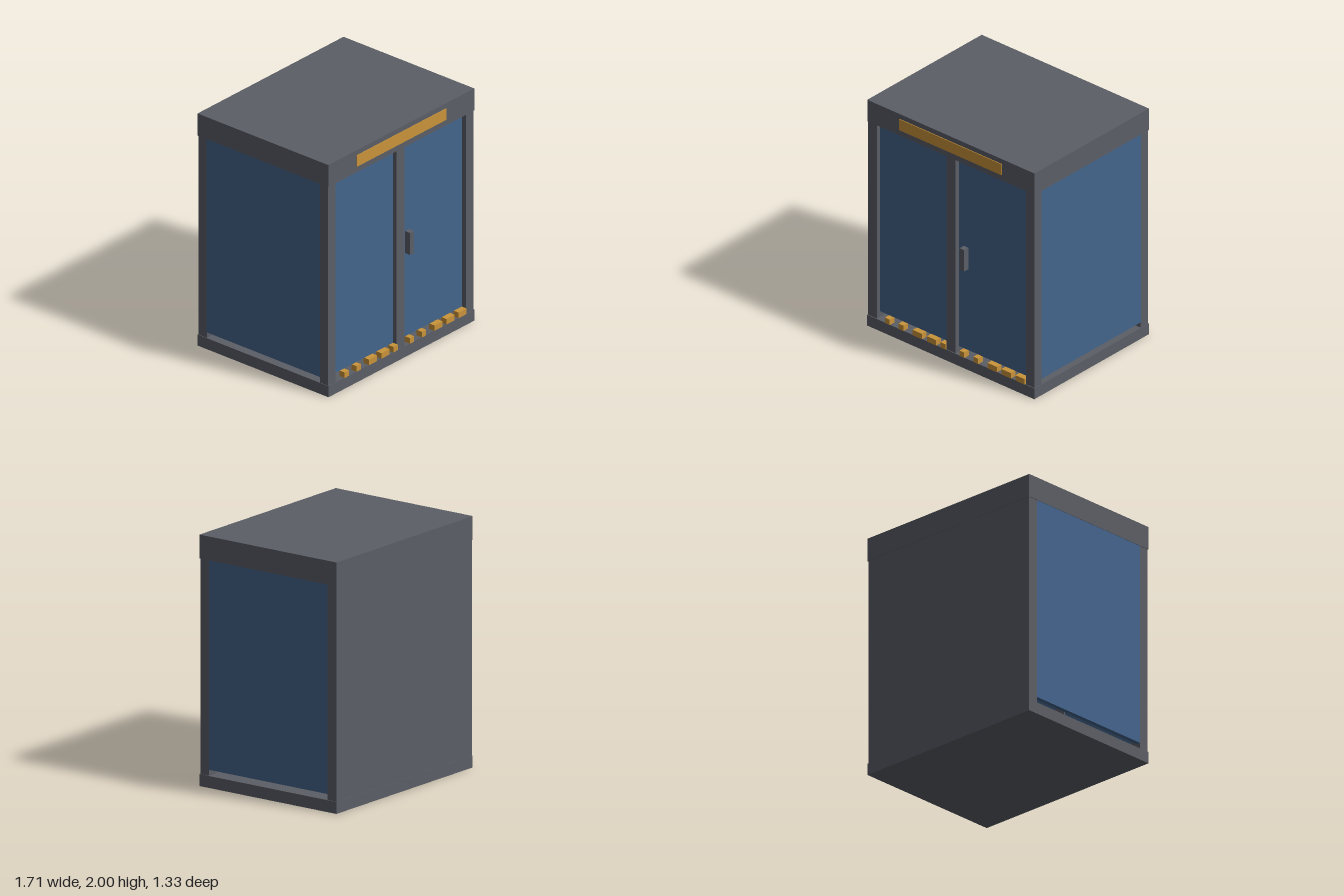
import * as THREE from 'three';

const mat = (name, color) => {
  const m = new THREE.MeshStandardMaterial({ color });
  m.name = name;
  return m;
};

export function createModel() {
  const group = new THREE.Group();
  const grey = mat('steel grey', 0x5c5e66);
  const blue = mat('blue glass', 0x44658d);
  const amber = mat('amber', 0xc9943a);

  // Box given by its extents along each axis
  const box = (name, material, [x0, x1], [y0, y1], [z0, z1]) => {
    const mesh = new THREE.Mesh(new THREE.BoxGeometry(x1 - x0, y1 - y0, z1 - z0), material);
    mesh.position.set((x0 + x1) / 2, (y0 + y1) / 2, (z0 + z1) / 2);
    mesh.name = name;
    group.add(mesh);
  };

  const floorY = 0.095, headY = 1.81, glassY = 0.143;
  const wallY = [floorY, headY];

  // Base, roof and back wall
  box('base', grey, [-0.855, 0.855], [0, floorY], [-0.665, 0.665]);
  box('roof', grey, [-0.855, 0.855], [headY, 2], [-0.665, 0.663]);
  box('backWall', grey, [-0.85, 0.85], wallY, [-0.66, -0.575]);

  // Front posts and side panes
  for (const s of [-1, 1]) {
    const span = (a, b) => [Math.min(s * a, s * b), Math.max(s * a, s * b)];
    box('frontPost', grey, span(0.762, 0.85), wallY, [0.575, 0.658]);
    box('sidePane', blue, span(0.815, 0.852), [glassY, headY], [-0.575, 0.575]);
  }
  box('mullion', grey, [-0.048, 0.044], wallY, [0.575, 0.658]);

  // Front panes and door handle
  box('fixedPane', blue, [-0.762, -0.048], [glassY, headY], [0.585, 0.62]);
  box('doorPane', blue, [0.044, 0.762], [glassY, headY], [0.585, 0.62]);
  box('handle', grey, [0.095, 0.14], [0.86, 1.05], [0.62, 0.669]);

  // Sign panel
  box('signPanel', amber, [-0.525, 0.523], [1.86, 1.957], [0.662, 0.669]);

  // Amber threshold blocks
  const blocks = [
    [-0.67, -0.62], [-0.53, -0.48], [-0.385, -0.29], [-0.24, -0.145], [-0.1, -0.048],
    [0.095, 0.142], [0.236, 0.285], [0.38, 0.475], [0.522, 0.618], [0.665, 0.758],
  ];
  for (const x of blocks) box('thresholdBlock', amber, x, [floorY, glassY], [0.615, 0.669]);

  // Stool and its rear support inside
  box('stoolPedestal', grey, [-0.1, 0.1], [floorY, 0.5], [-0.29, -0.05]);
  box('stoolSupport', grey, [-0.1, 0.1], [floorY, 0.5], [-0.47, -0.29]);

  return group;
}
